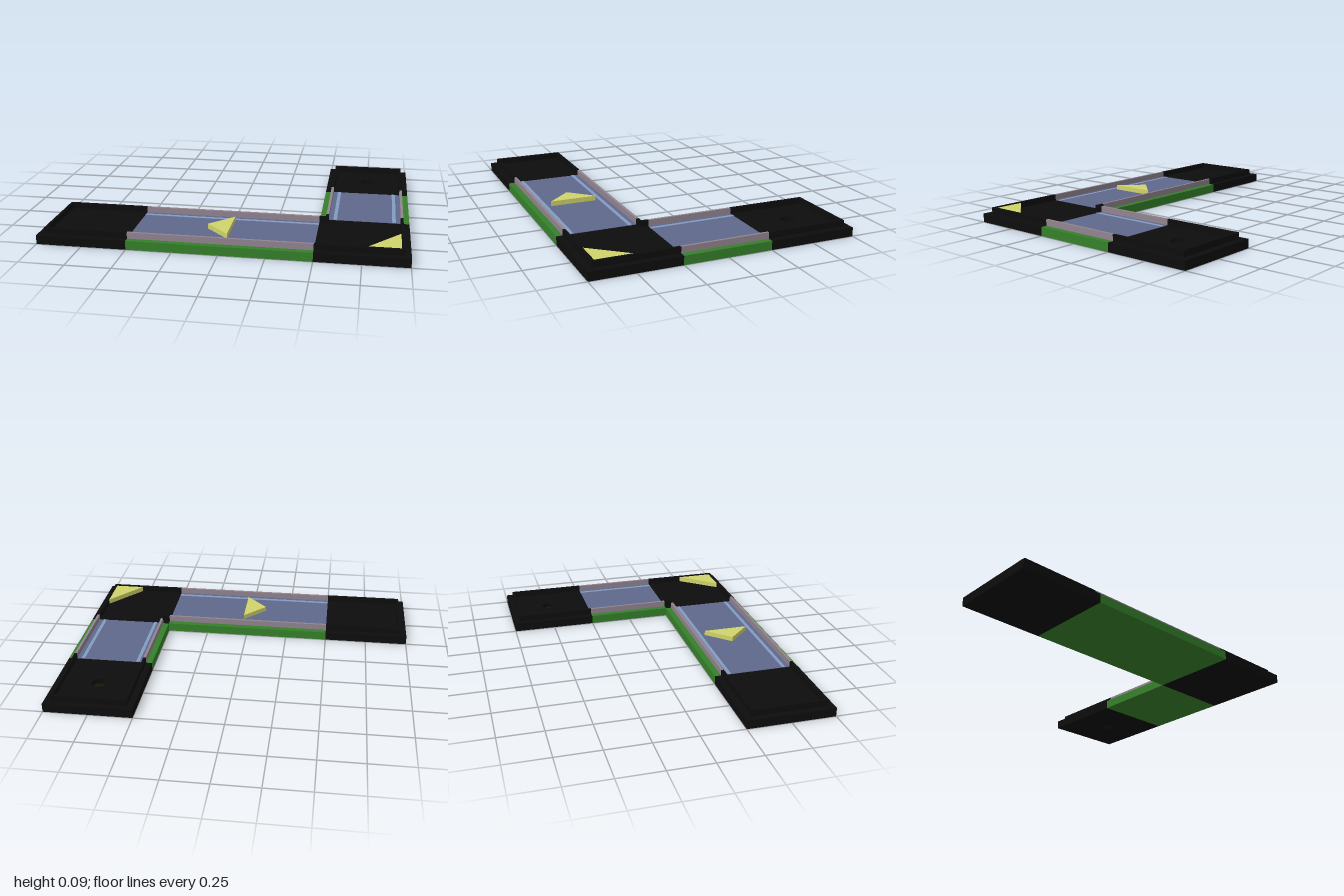
import * as THREE from 'three';

const BASE = 0.05, TOP = 0.085;   // slab height, rail height
const INSET = 0.035, RAIL = 0.015; // rail distance from tile edge, rail thickness

const paint = (color) => new THREE.MeshStandardMaterial({ color, flatShading: true });
const mats = {
  green: paint(0x35802a), road: paint(0x5f688c), stripe: paint(0x839bc2),
  rail: paint(0x91848f), black: paint(0x0d0d0d), arrow: paint(0xd0d36a), hole: paint(0x1c1609),
};

// Box given by its x, y and z ranges
function block(parent, name, mat, x0, x1, y0, y1, z0, z1) {
  const mesh = new THREE.Mesh(new THREE.BoxGeometry(x1 - x0, y1 - y0, z1 - z0), mat);
  mesh.position.set((x0 + x1) / 2, (y0 + y1) / 2, (z0 + z1) / 2);
  mesh.name = name;
  parent.add(mesh);
}

// Prism raised from a plan outline of [x, z] points
function prism(name, mat, points, y0, y1, holes = []) {
  const shape = new THREE.Shape(points.map(([x, z]) => new THREE.Vector2(x, -z)));
  shape.holes.push(...holes);
  const geo = new THREE.ExtrudeGeometry(shape, { depth: y1 - y0, bevelEnabled: false, curveSegments: 8 });
  geo.rotateX(-Math.PI / 2);
  const mesh = new THREE.Mesh(geo, mat);
  mesh.position.y = y0;
  mesh.name = name;
  return mesh;
}

// Straight lane along local x with two rails and two stripes
function straight(length) {
  const g = new THREE.Group();
  g.name = 'straightLane';
  const h = length / 2;
  block(g, 'laneBase', mats.green, -h, h, 0, BASE, -0.25, 0.25);
  block(g, 'laneSurface', mats.road, -h, h, BASE, BASE + 0.002, -0.2, 0.2);
  for (const s of [-1, 1]) {
    const rail = s * (0.25 - INSET - RAIL / 2), stripe = s * 0.165;
    block(g, 'laneRail', mats.rail, -h, h, BASE, TOP, rail - RAIL / 2, rail + RAIL / 2);
    block(g, 'laneStripe', mats.stripe, -h, h, BASE, BASE + 0.004, stripe - 0.01, stripe + 0.01);
  }
  return g;
}

// End tile, open towards local +x, optionally with a round cup
function endTile(withCup) {
  const g = new THREE.Group();
  g.name = 'endTile';
  const square = [[-0.25, -0.25], [-0.25, 0.25], [0.25, 0.25], [0.25, -0.25]];
  if (withCup) {
    const hole = new THREE.Path().absarc(0, 0, 0.042, 0, Math.PI * 2, true);
    g.add(prism('endBase', mats.black, square, 0, BASE, [hole]));
    const floor = new THREE.Mesh(new THREE.CylinderGeometry(0.042, 0.042, 0.02, 16), mats.hole);
    floor.position.y = 0.01;
    floor.name = 'cupFloor';
    g.add(floor);
  } else {
    block(g, 'endBase', mats.black, -0.25, 0.25, 0, BASE, -0.25, 0.25);
  }
  const o = 0.25 - INSET, i = o - RAIL;
  // U-shaped rail
  g.add(prism('endRail', mats.black,
    [[0.25, o], [0.25, i], [-i, i], [-i, -i], [0.25, -i], [0.25, -o], [-o, -o], [-o, o]], BASE, TOP));
  return g;
}

// Corner tile, open towards local -x and -z
function cornerTile() {
  const g = new THREE.Group();
  g.name = 'cornerTile';
  const o = 0.25 - INSET, i = o - RAIL;
  block(g, 'cornerBase', mats.black, -0.25, 0.25, 0, BASE, -0.25, 0.25);
  g.add(prism('outerRail', mats.black,
    [[-0.25, i], [-0.25, o], [o, o], [o, -0.25], [i, -0.25], [i, i]], BASE, TOP));
  g.add(prism('innerRail', mats.black,
    [[-0.25, -o], [-0.25, -i], [-i, -i], [-i, -0.25], [-o, -0.25], [-o, -o]], BASE, TOP));
  g.add(prism('cornerDeflector', mats.arrow, [[i, -0.02], [0.02, i], [i, i]], BASE, 0.08));
  return g;
}

export function createModel() {
  const model = new THREE.Group();
  model.name = 'laneCourse';
  const place = (part, x, z, turn = 0) => {
    part.position.set(x, 0, z);
    part.rotation.y = turn;
    model.add(part);
  };

  place(endTile(false), -0.75, 0.5);
  place(straight(1), 0, 0.5);
  place(cornerTile(), 0.75, 0.5);
  place(straight(0.5), 0.75, 0, Math.PI / 2);
  place(endTile(true), 0.75, -0.5, -Math.PI / 2);

  // Arrow-shaped obstacle on the long lane
  model.add(prism('laneArrow', mats.arrow, [[-0.1, 0.5], [0.03, 0.635], [0.03, 0.365]], BASE, 0.08));
  return model;
}
